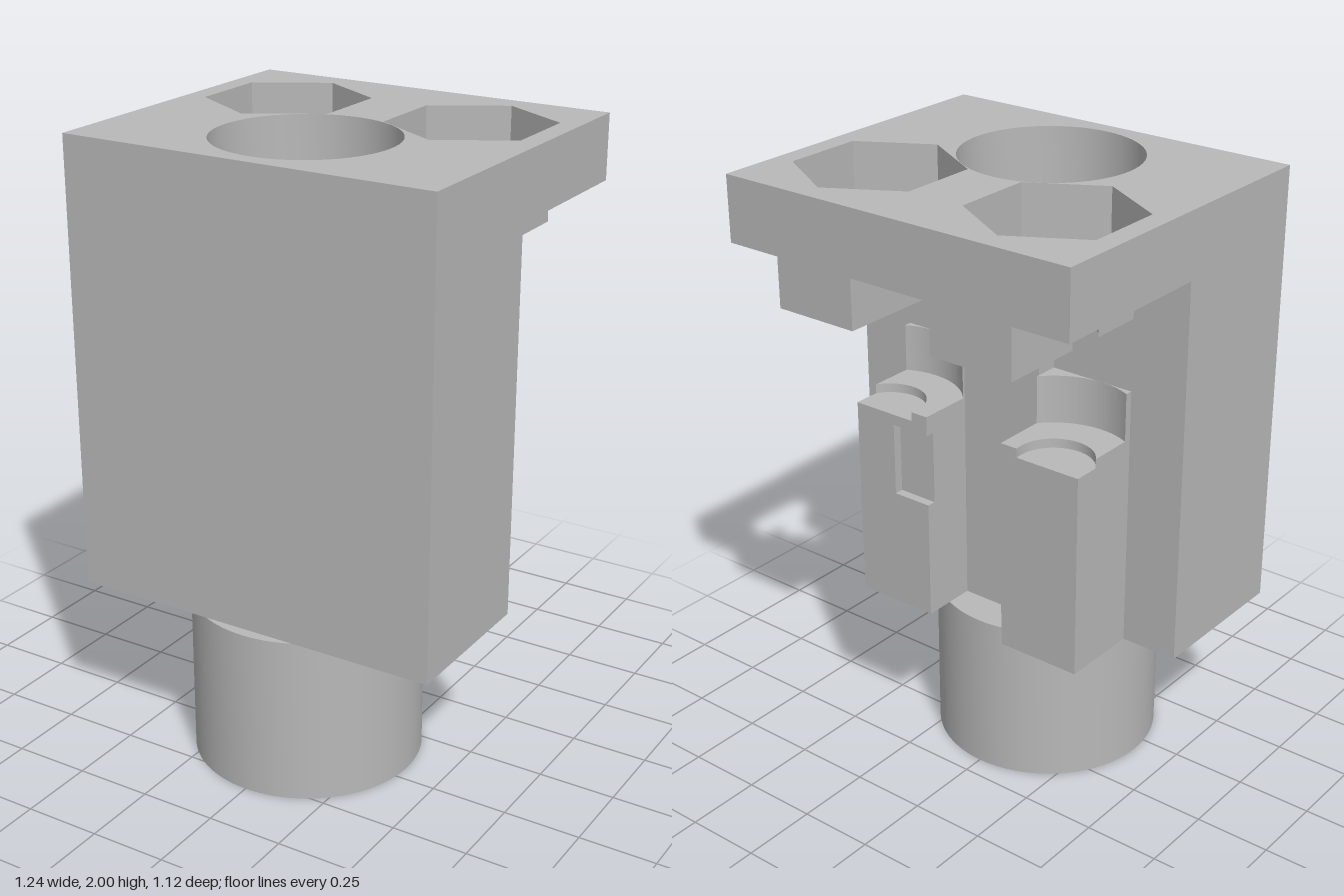
import * as THREE from 'three';
import { toCreasedNormals } from 'three/addons/utils/BufferGeometryUtils.js';

const BORE_Z = 0.185, SCREW_X = 0.325, SCREW_Z = -0.22;

// Points on an arc in plan, as [x, z]
function arc(cx, cz, r, a0, a1, n = 32) {
  return Array.from({ length: n + 1 }, (_, i) => {
    const a = a0 + (a1 - a0) * i / n;
    return [cx + r * Math.cos(a), cz + r * Math.sin(a)];
  });
}
const circle = (cx, cz, r, n = 64) => arc(cx, cz, r, 0, Math.PI * 2 * (1 - 1 / n), n - 1);
const hexagon = (cx, cz, r) => arc(cx, cz, r, Math.PI / 6, Math.PI / 6 + Math.PI * 5 / 3, 5);
const mirror = (pts) => pts.map(([x, z]) => [-x, z]).reverse();
const toVectors = (pts) => pts.map(([x, z]) => new THREE.Vector2(x, -z));

export function createModel() {
  const group = new THREE.Group();
  const grey = new THREE.MeshStandardMaterial({ color: 0xb8b8b8 });
  grey.name = 'grey plastic';

  // Horizontal slab between two heights, from a plan outline with holes
  function slab(name, y0, y1, outline, holes = []) {
    const shape = new THREE.Shape(toVectors(outline));
    for (const h of holes) shape.holes.push(new THREE.Path(toVectors(h)));
    const geo = new THREE.ExtrudeGeometry(shape, { depth: y1 - y0, bevelEnabled: false });
    geo.rotateX(-Math.PI / 2);
    geo.translate(0, y0, 0);
    const mesh = new THREE.Mesh(toCreasedNormals(geo, 0.5), grey);
    mesh.name = name;
    group.add(mesh);
  }

  const smallHole = circle(0, BORE_Z, 0.15);
  const front = [[0.62, 0.525], [0.62, 0.015]];
  const wall = [[0.145, -0.06]];
  const both = (half, other = half) => [...half, ...mirror(other)];

  // Neck tube under the body
  slab('neckTube', 0, 0.545, circle(0, 0.19, 0.37, 96), [smallHole]);

  // Body with two rear posts; one post has a shallow notch
  const post = [...front, [0.43, 0.015], [0.43, -0.245], [0.145, -0.245], ...wall];
  const notched = [...front, [0.43, 0.015], [0.43, -0.245], [0.28, -0.245],
    [0.28, -0.215], [0.145, -0.215], ...wall];
  slab('lowerBody', 0.545, 0.94, both(post), [smallHole]);
  slab('notchedBody', 0.94, 1.18, both(notched, post), [smallHole]);
  slab('middleBody', 1.18, 1.215, both(post), [smallHole]);

  // Round seats in the post tops
  const seat = [...front, [0.43, 0.015],
    ...arc(SCREW_X, SCREW_Z, 0.122, 0.533, Math.PI + 0.206),
    [0.145, -0.245], ...wall];
  slab('postSeats', 1.215, 1.245, both(seat), [smallHole]);

  // Round clearances behind the posts
  const clearance = [...front, [0.43, 0.015],
    ...arc(SCREW_X, SCREW_Z, 0.235, 1.107, 2.444), ...wall];
  slab('clearanceBody', 1.245, 1.4, both(clearance), [smallHole]);

  // Plain body with the centre wall
  slab('upperBody', 1.4, 1.63, both([...front, [0.145, 0.015], ...wall]), [smallHole]);

  // Screw blocks under the top plate, with the wide bore open to the back
  const block = [...front, [0.43, 0.015],
    ...arc(SCREW_X, SCREW_Z, 0.122, 0.533, Math.PI * 2 - 0.533, 40),
    [0.43, -0.555], [0.145, -0.555],
    ...arc(0, BORE_Z, 0.285, Math.atan2(-0.245, 0.145), Math.PI / 2)];
  slab('screwBlocks', 1.63, 1.79, [...block, ...mirror(block).slice(1)]);

  // Top plate with the bore and two hexagonal pockets
  slab('topPlate', 1.79, 2,
    [[0.62, 0.525], [0.62, -0.555], [-0.62, -0.555], [-0.62, 0.525]],
    [circle(0, BORE_Z, 0.285),
      hexagon(SCREW_X, SCREW_Z, 0.262), hexagon(-SCREW_X, SCREW_Z, 0.262)]);

  return group;
}
